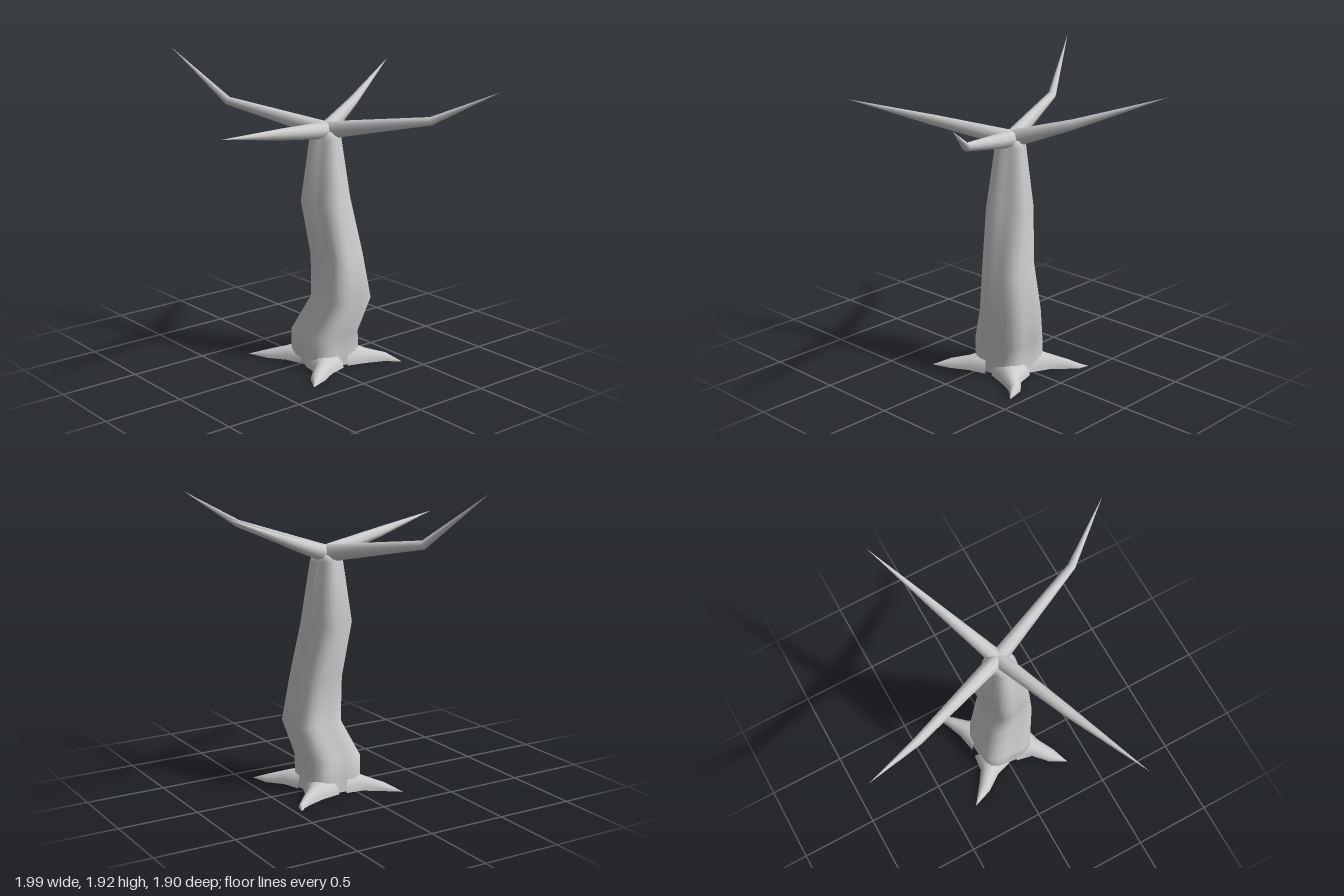
import * as THREE from 'three';

// Skin over a list of rings (arrays of Vector3 with the same count), closed round or left open
function loft(rings, closed) {
  const n = rings[0].length;
  const index = [];
  for (let i = 0; i < rings.length - 1; i++) {
    for (let j = 0; j < (closed ? n : n - 1); j++) {
      const a = i * n + j, b = i * n + (j + 1) % n;
      index.push(a, a + n, b, b, a + n, b + n);
    }
  }
  const geo = new THREE.BufferGeometry().setFromPoints(rings.flat());
  geo.setIndex(index);
  geo.computeVertexNormals();
  return geo;
}

// Tapered limb along stations [x, y, z, halfWidth, halfHeight]; an arch has no underside
function limb(stations, sides, arch) {
  const up = new THREE.Vector3(0, 1, 0);
  const pts = stations.map(s => new THREE.Vector3(s[0], s[1], s[2]));
  return loft(stations.map(([, , , w, h], i) => {
    const d = pts[Math.min(i + 1, pts.length - 1)].clone().sub(pts[Math.max(i - 1, 0)]).normalize();
    const u = d.clone().cross(up).normalize();
    const v = u.clone().cross(d);
    return Array.from({ length: arch ? sides + 1 : sides }, (_, j) => {
      const t = j / sides * Math.PI * (arch ? 1 : 2);
      return pts[i].clone().addScaledVector(u, w * Math.cos(t)).addScaledVector(v, h * Math.sin(t));
    });
  }), !arch);
}

// Four-lobed outline of unit half extent, with the lobes turned by an angle in degrees
function lobedOutline(turn, depth) {
  const outline = Array.from({ length: 32 }, (_, j) => {
    const t = j / 32 * Math.PI * 2;
    const r = 1 + depth * Math.cos(4 * (t - THREE.MathUtils.degToRad(turn)));
    return [r * Math.cos(t), r * Math.sin(t)];
  });
  const reach = Math.max(...outline.map(p => p[0]));
  return outline.map(([x, z]) => [x / reach, z / reach]);
}

export function createModel() {
  const group = new THREE.Group();
  const bark = new THREE.MeshStandardMaterial({ color: 0xcccccc, side: THREE.DoubleSide });
  bark.name = 'bark grey';
  const add = (name, geo) => {
    const mesh = new THREE.Mesh(geo, bark);
    mesh.name = name;
    group.add(mesh);
  };

  // Winding, twisting trunk: [y, centre x, centre z, half width, half depth, lobe turn, lobe depth]
  const sections = [
    [0, 0.02, -0.09, 0.18, 0.18, 45, 0.12],
    [0.08, 0.025, -0.085, 0.175, 0.175, 45, 0.12],
    [0.2, 0.025, -0.085, 0.175, 0.178, 45, 0.1],
    [0.42, 0.093, -0.16, 0.163, 0.16, 42, 0.1],
    [0.7, 0.083, -0.133, 0.148, 0.148, 32, 0.1],
    [1.05, 0.025, -0.09, 0.155, 0.16, 14, 0.1],
    [1.44, 0.02, -0.09, 0.1, 0.1, 14, 0.08],
    [1.48, 0.02, -0.1, 0.07, 0.07, 14, 0.05],
    [1.5, 0.02, -0.1, 0, 0, 14, 0],
  ];
  add('trunk', loft(sections.map(([y, cx, cz, w, d, turn, depth]) =>
    lobedOutline(turn, depth).map(([x, z]) => new THREE.Vector3(cx + w * x, y, cz + d * z))), true));

  // Spiky bare branches meeting at the top of the trunk
  const joint = [[0.02, 1.48, -0.1, 0, 0], [0.02, 1.48, -0.1, 0.05, 0.055]];
  const branches = {
    rightBranch: [[-0.64, 1.6, 0.165, 0.027, 0.027], [-1, 1.92, 0.35, 0, 0]],
    leftBranch: [[0.66, 1.6, -0.36, 0.025, 0.025], [0.99, 1.79, -0.59, 0, 0]],
    frontBranch: [[0.2, 1.545, 0.4, 0.034, 0.034], [0.405, 1.62, 0.95, 0, 0]],
    backBranch: [[-0.14, 1.6, -0.45, 0.031, 0.031], [-0.375, 1.8, -0.95, 0, 0]],
  };
  for (const [name, path] of Object.entries(branches)) add(name, limb([...joint, ...path], 8, false));

  // Low hollow roots spreading over the ground: [x, z, half width, height]
  const roots = {
    backLeftRoot: [[0.13, -0.2, 0.12, 0.1], [0.21, -0.28, 0.06, 0.075], [0.28, -0.375, 0.035, 0.045], [0.38, -0.43, 0, 0]],
    backRightRoot: [[-0.08, -0.19, 0.12, 0.1], [-0.15, -0.28, 0.06, 0.075], [-0.21, -0.37, 0.035, 0.05],
      [-0.255, -0.43, 0.02, 0.025], [-0.31, -0.46, 0, 0]],
    frontLeftRoot: [[0.14, 0.01, 0.12, 0.1], [0.21, 0.08, 0.06, 0.075], [0.28, 0.18, 0.045, 0.045], [0.355, 0.27, 0, 0]],
    frontRightRoot: [[-0.09, 0.01, 0.12, 0.1], [-0.15, 0.08, 0.06, 0.075], [-0.235, 0.165, 0.04, 0.045], [-0.345, 0.245, 0, 0]],
  };
  for (const [name, path] of Object.entries(roots)) {
    add(name, limb(path.map(([x, z, w, h]) => [x, 0, z, w, h]), 8, true));
  }
  return group;
}
